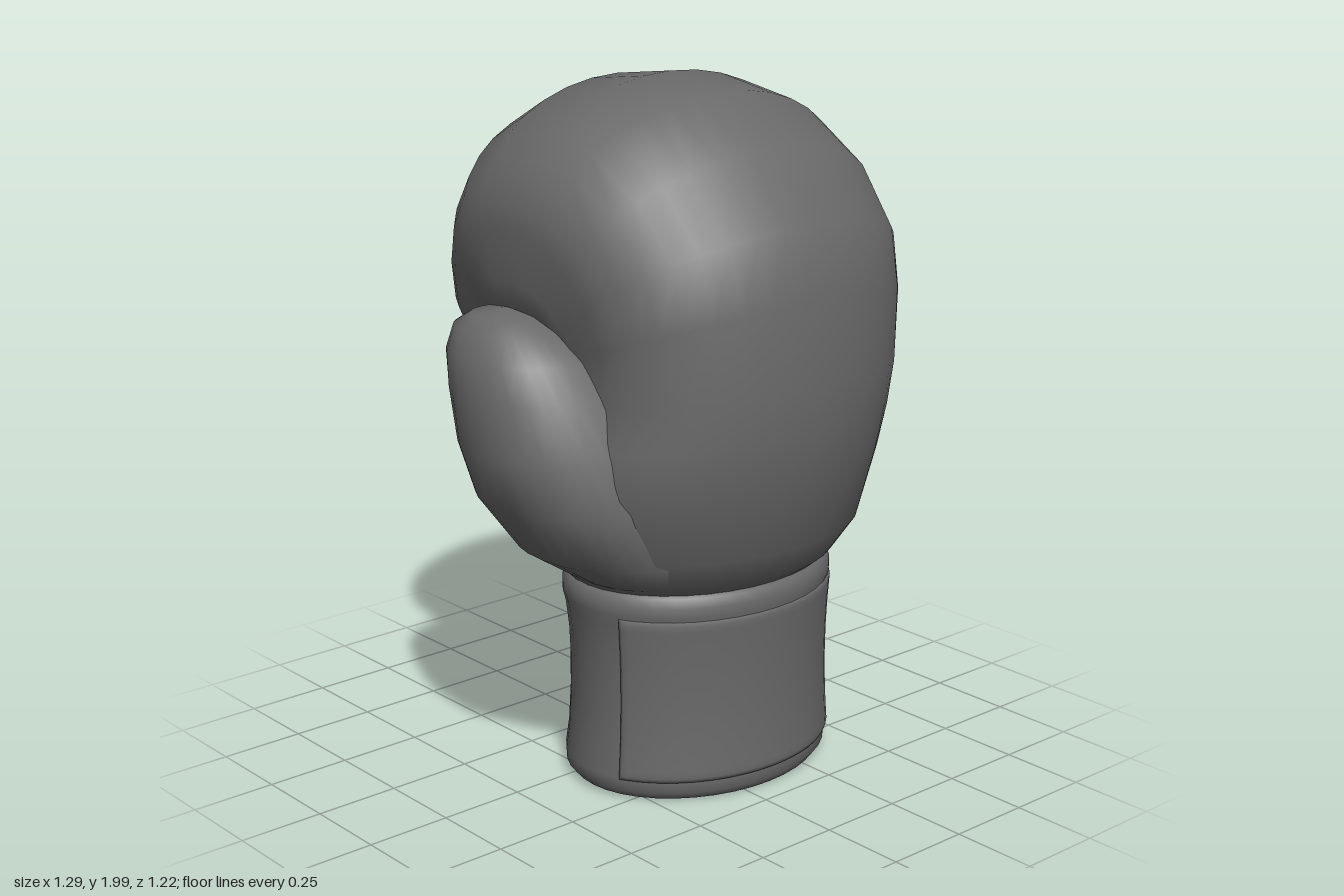
import * as THREE from 'three';

const mat = new THREE.MeshStandardMaterial({ color: 0x696969 });
const SEG = 36;

// Superellipse power: keeps the sign, p = 2 gives a plain ellipse
const spow = (v, p) => Math.sign(v) * Math.pow(Math.abs(v), 2 / p);

// Skin a grid of rows of [x, y, z]; closed rows share their seam
function skin(rows, closed) {
  const n = rows[0].length, index = [];
  for (let i = 0; i < rows.length - 1; i++) {
    for (let j = 0; j < (closed ? n : n - 1); j++) {
      const k = (j + 1) % n;
      const a = i * n + j, b = i * n + k, c = a + n, d = b + n;
      index.push(a, c, b, b, c, d);
    }
  }
  const g = new THREE.BufferGeometry();
  g.setAttribute('position', new THREE.Float32BufferAttribute(rows.flat(2), 3));
  g.setIndex(index);
  g.computeVertexNormals();
  return g;
}

// One closed row of points, fn maps an angle to [x, y, z]
const ring = (fn) => Array.from({ length: SEG }, (_, j) => fn((j / SEG) * Math.PI * 2));

function part(name, geometry) {
  const m = new THREE.Mesh(geometry, mat);
  m.name = name;
  return m;
}

// Curled mitt: each section spans from the outer to the inner side of the curl
function mittGeometry() {
  // outer z, outer y, inner z, inner y, x min, x max, squareness of the inner half
  const sections = [
    [0.10, 0.58, 0.10, 0.58, 0.09, 0.09, 2],
    [0.40, 0.60, -0.20, 0.60, -0.30, 0.48, 2.1],
    [0.45, 0.64, -0.23, 0.64, -0.34, 0.525, 2.2],
    [0.53, 0.75, -0.24, 0.73, -0.42, 0.565, 2.3],
    [0.585, 0.96, -0.205, 0.90, -0.455, 0.59, 2.4],
    [0.605, 1.09, -0.145, 1.02, -0.43, 0.60, 2.5],
    [0.61, 1.22, -0.085, 1.12, -0.395, 0.61, 2.7],
    [0.60, 1.46, -0.055, 1.20, -0.41, 0.62, 3.2],
    [0.55, 1.65, -0.05, 1.23, -0.43, 0.635, 3.5],
    [0.40, 1.84, -0.05, 1.24, -0.45, 0.643, 3.5],
    [0.20, 1.965, -0.052, 1.245, -0.465, 0.642, 3.5],
    [-0.01, 2.0, -0.055, 1.245, -0.47, 0.637, 3.5],
    [-0.24, 1.97, -0.058, 1.24, -0.465, 0.62, 3.5],
    [-0.41, 1.88, -0.061, 1.235, -0.455, 0.60, 3.5],
    [-0.53, 1.74, -0.064, 1.225, -0.43, 0.575, 3.4],
    [-0.60, 1.58, -0.068, 1.21, -0.405, 0.555, 3.2],
    [-0.61, 1.43, -0.075, 1.19, -0.385, 0.53, 2.9],
    [-0.56, 1.27, -0.10, 1.145, -0.34, 0.48, 2.5],
    [-0.47, 1.13, -0.17, 1.09, -0.25, 0.38, 2.2],
    [-0.38, 1.065, -0.27, 1.06, -0.07, 0.22, 2],
    [-0.32, 1.06, -0.32, 1.06, 0.08, 0.08, 2],
  ];
  return skin(sections.map(([oz, oy, iz, iy, x0, x1, pin]) => ring((t) => {
    const p = Math.sin(t) < 0 ? pin : 2;
    const c = spow(Math.cos(t), p), s = spow(Math.sin(t), p);
    const cx = 0.085;
    return [
      cx + (c > 0 ? x1 - cx : cx - x0) * c,
      (oy + iy) / 2 + ((oy - iy) / 2) * s,
      (oz + iz) / 2 + ((oz - iz) / 2) * s,
    ];
  })), true);
}

// Thumb: stacked ovals rising out of the palm on the model's right
function thumbGeometry() {
  // y, centre x, centre z, radius x, radius z
  const sections = [
    [0.62, -0.04, 0.10, 0.0, 0.0],
    [0.64, -0.06, 0.10, 0.28, 0.28],
    [0.73, -0.12, 0.10, 0.36, 0.32],
    [0.90, -0.21, 0.08, 0.40, 0.31],
    [1.05, -0.28, 0.05, 0.37, 0.285],
    [1.20, -0.375, 0.01, 0.27, 0.255],
    [1.29, -0.41, -0.03, 0.215, 0.225],
    [1.355, -0.44, -0.06, 0.15, 0.17],
    [1.39, -0.455, -0.07, 0.09, 0.10],
    [1.402, -0.46, -0.08, 0.0, 0.0],
  ];
  return skin(sections.map(([y, cx, cz, rx, rz]) => ring((t) =>
    [cx + rx * spow(Math.cos(t), 2.2), y, cz + rz * spow(Math.sin(t), 2.2)])), true);
}

// Cuff outline: oval centre and radii
const CUFF = { x: 0.083, z: 0.113, rx: 0.415, rz: 0.328 };
const cuffScale = (y) => 0.965 + 0.5 * (y - 0.31) ** 2;

// Hollow cuff with a rolled lip at the wrist opening
function cuffGeometry() {
  const profile = [
    [0, 0.45], [0.55, 0.43], [0.63, 0.36], [0.63, 0.15], [0.67, 0.07], [0.75, 0.025],
    [0.86, 0.007], [0.95, 0.012], [1.0, 0.035], [1.005, 0.07],
    [0.98, 0.14], [0.965, 0.25], [0.965, 0.36], [0.975, 0.45],
    [1.0, 0.53], [1.02, 0.56], [1.02, 0.59], [0.99, 0.615], [0.92, 0.63], [0.8, 0.635],
  ];
  const g = new THREE.LatheGeometry(profile.map(([r, y]) => new THREE.Vector2(r, y)), 40);
  g.scale(CUFF.rx, 1, CUFF.rz);
  g.translate(CUFF.x, 0, CUFF.z);
  return g;
}

// Closure panel wrapped round the front of the cuff, edges rounded inward
function panelGeometry() {
  const t0 = THREE.MathUtils.degToRad(20), t1 = Math.PI - t0;
  const edge = [0, 0, 0.012, 0.03];
  const lift = [-0.03, 0.022, 0.036, 0.036];
  // Grid stops along one direction: edge steps, an even middle, edge steps
  const stops = (a, b, k, n) => {
    const out = edge.map((e, i) => [a + e * k, lift[i]]);
    const lo = a + edge[3] * k, hi = b - edge[3] * k;
    for (let i = 1; i < n; i++) out.push([lo + ((hi - lo) * i) / n, lift[3]]);
    for (let i = 3; i >= 0; i--) out.push([b - edge[i] * k, lift[i]]);
    return out;
  };
  const us = stops(t0, t1, 2.6, 18);
  return skin(stops(0.07, 0.55, 1, 6).map(([y, ly]) => us.map(([t, lt]) => {
    const r = cuffScale(y) + Math.min(ly, lt);
    return [CUFF.x + CUFF.rx * r * Math.cos(t), y, CUFF.z + CUFF.rz * r * Math.sin(t)];
  })), false);
}

export function createModel() {
  const glove = new THREE.Group();
  glove.name = 'boxingGlove';
  glove.add(
    part('mitt', mittGeometry()),
    part('thumb', thumbGeometry()),
    part('cuff', cuffGeometry()),
    part('closurePanel', panelGeometry()),
  );
  return glove;
}
